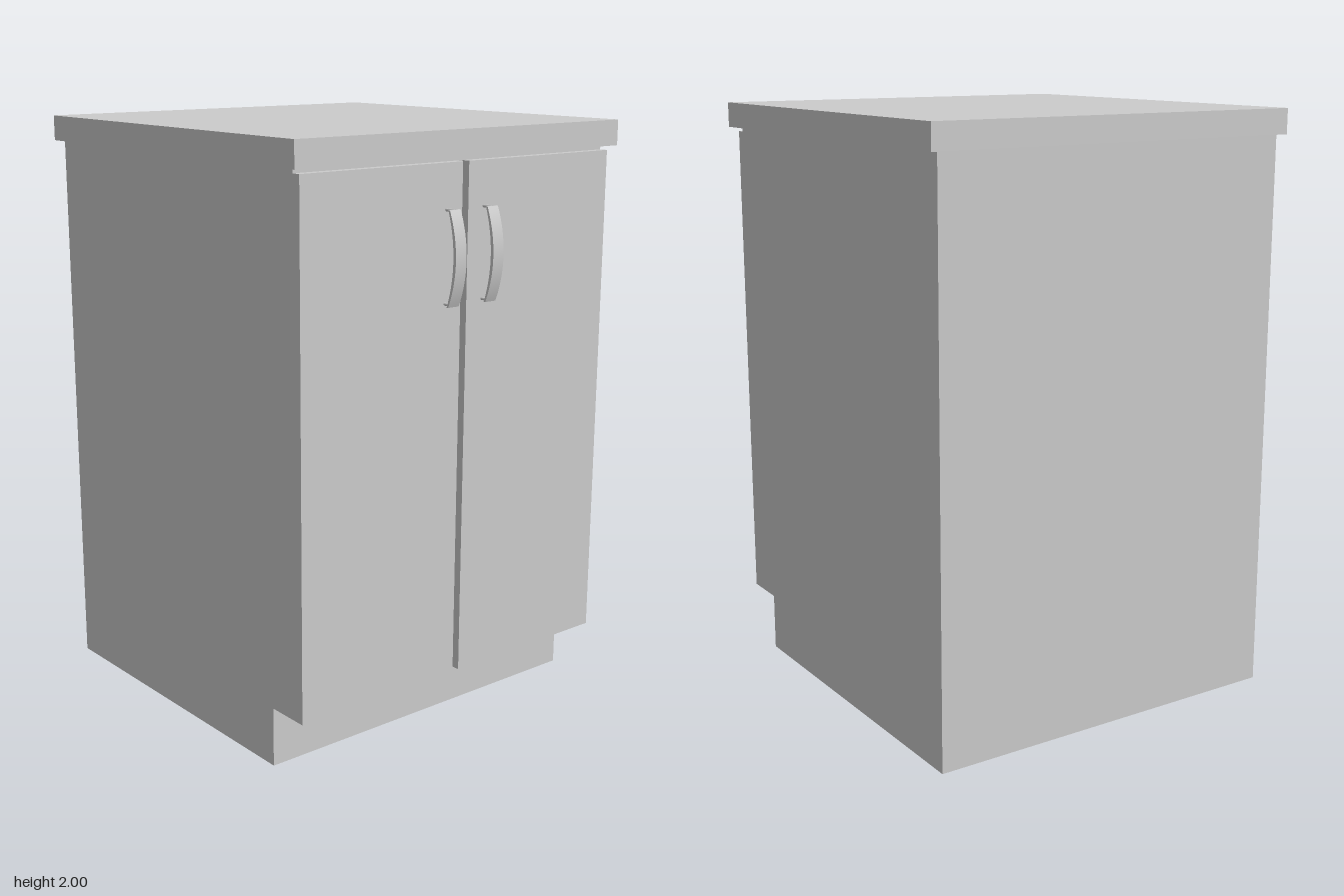
import * as THREE from 'three';
import { toCreasedNormals } from 'three/addons/utils/BufferGeometryUtils.js';

const material = new THREE.MeshStandardMaterial({ color: 0xcccccc });

function addMesh(parent, name, geometry) {
  const mesh = new THREE.Mesh(geometry, material);
  mesh.name = name;
  parent.add(mesh);
  return mesh;
}

// Box given by its extents on each axis
function addBox(parent, name, [x0, x1], [y0, y1], [z0, z1]) {
  const mesh = addMesh(parent, name, new THREE.BoxGeometry(x1 - x0, y1 - y0, z1 - z0));
  mesh.position.set((x0 + x1) / 2, (y0 + y1) / 2, (z0 + z1) / 2);
  return mesh;
}

// Extrudes a (z, y) side profile across x, centred on x = 0
function sideExtrude(shape, width) {
  const geometry = new THREE.ExtrudeGeometry(shape, { depth: width, bevelEnabled: false, curveSegments: 20 });
  geometry.translate(0, 0, -width / 2);
  geometry.rotateY(-Math.PI / 2);
  return toCreasedNormals(geometry, 0.5);
}

// Bowed pull: a crescent grip on two thin posts
function createHandle() {
  const handle = new THREE.Group();
  const bottom = 1.457, top = 1.759, middle = (bottom + top) / 2;
  const grip = new THREE.Shape();
  grip.moveTo(0.678, bottom);
  grip.lineTo(0.685, bottom);
  grip.quadraticCurveTo(0.747, middle, 0.685, top);
  grip.lineTo(0.678, top);
  grip.quadraticCurveTo(0.731, middle, 0.678, bottom);
  addMesh(handle, 'handleGrip', sideExtrude(grip, 0.045));
  for (const y of [bottom + 0.004, top - 0.003]) {
    const post = addMesh(handle, 'handlePost', new THREE.CylinderGeometry(0.005, 0.005, 0.045, 12));
    post.rotation.x = Math.PI / 2;
    post.position.set(0, y, 0.6625);
  }
  return handle;
}

export function createModel() {
  const cabinet = new THREE.Group();
  cabinet.name = 'cabinet';

  // Carcass with the toe kick cut out of its lower front
  const profile = new THREE.Shape();
  profile.moveTo(-0.7, 0);
  profile.lineTo(0.493, 0);
  profile.lineTo(0.493, 0.2);
  profile.lineTo(0.615, 0.2);
  profile.lineTo(0.615, 1.915);
  profile.lineTo(-0.7, 1.915);
  addMesh(cabinet, 'carcass', sideExtrude(profile, 1.3));

  // Overhanging worktop
  addBox(cabinet, 'worktop', [-0.68, 0.68], [1.915, 2], [-0.717, 0.662]);

  // Pair of doors with a narrow gap and handles near the middle
  for (const [side, s] of [['left', 1], ['right', -1]]) {
    const xs = s > 0 ? [0.013, 0.65] : [-0.65, -0.013];
    addBox(cabinet, side + 'Door', xs, [0.2, 1.9], [0.615, 0.645]);
    const handle = createHandle();
    handle.name = side + 'Handle';
    handle.position.x = s * 0.08;
    cabinet.add(handle);
  }
  return cabinet;
}
